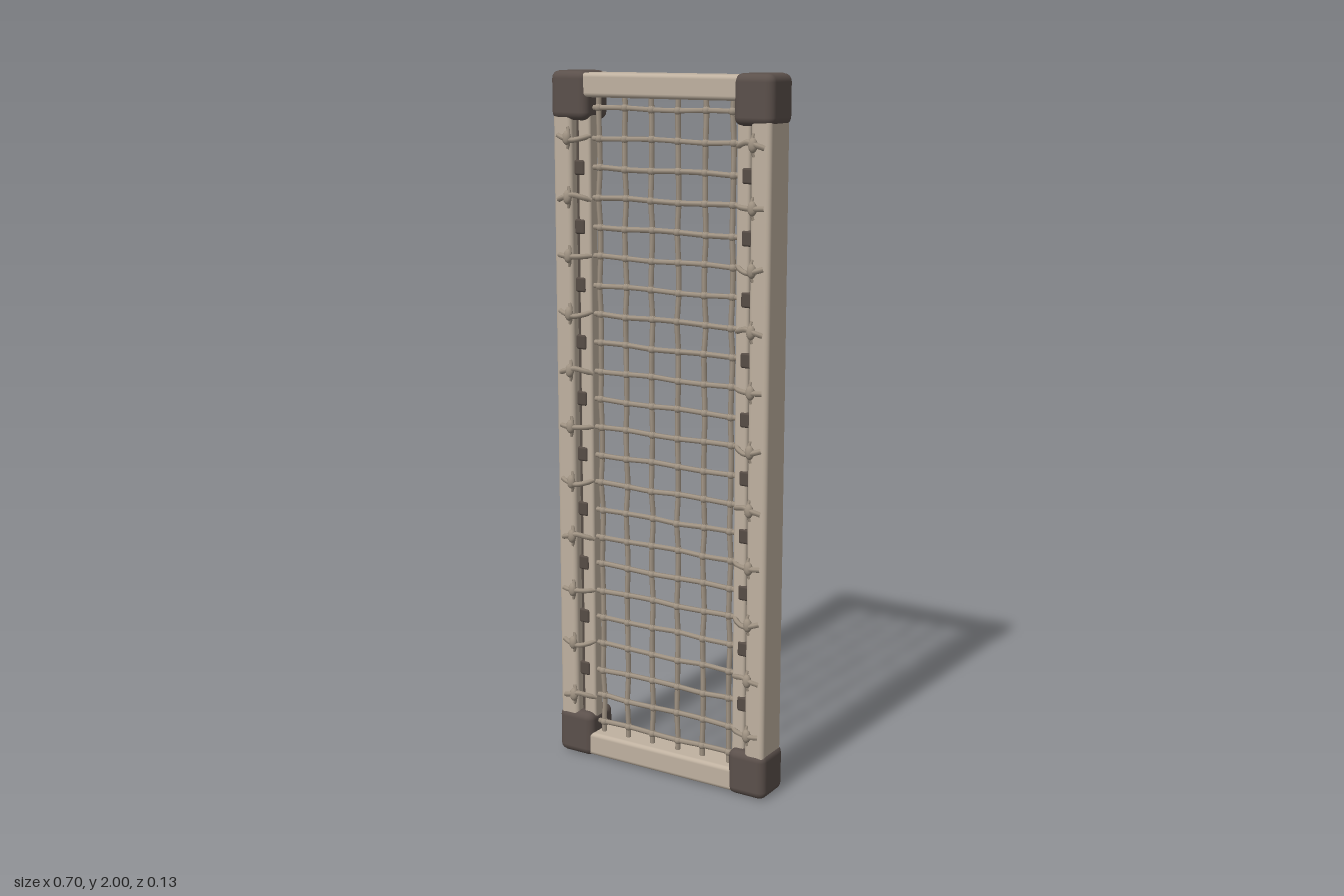
import * as THREE from 'three';
import { RoundedBoxGeometry } from 'three/addons/geometries/RoundedBoxGeometry.js';

const paint = (name, color) => {
  const m = new THREE.MeshStandardMaterial({ color });
  m.name = name;
  return m;
};

export function createModel() {
  const model = new THREE.Group();
  model.name = 'ropeNetPanel';
  const wood = paint('paleWood', 0xbfb1a0);
  const cap = paint('darkCap', 0x5b504b);
  const rope = paint('rope', 0xa19484);
  const shade = paint('darkBinding', 0x564c45);

  const add = (parent, name, geometry, material, x = 0, y = 0, z = 0) => {
    const mesh = new THREE.Mesh(geometry, material);
    mesh.name = name;
    mesh.position.set(x, y, z);
    parent.add(mesh);
    return mesh;
  };
  const block = (w, h, d, r) => new RoundedBoxGeometry(w, h, d, 2, r);
  const tube = (points, radius, steps, closed = false) =>
    new THREE.TubeGeometry(new THREE.CatmullRomCurve3(points, closed), steps, radius, 6, closed);
  const V = (x, y, z) => new THREE.Vector3(x, y, z);

  // Outer frame: top and bottom rails, side rails and corner caps
  const frame = new THREE.Group();
  frame.name = 'frame';
  model.add(frame);
  add(frame, 'topRail', block(0.5, 0.066, 0.108, 0.012), wood, 0, 1.962, -0.007);
  add(frame, 'bottomRail', block(0.5, 0.07, 0.108, 0.012), wood, 0, 0.042, -0.007);
  for (const s of [-1, 1]) {
    add(frame, 'sideRail', block(0.06, 1.8, 0.108, 0.012), wood, s * 0.313, 1, -0.007);
    add(frame, 'netBatten', block(0.04, 1.86, 0.04, 0.008), wood, s * 0.252, 1, 0.008);
    add(frame, 'slotFiller', new THREE.BoxGeometry(0.02, 1.8, 0.024), shade, s * 0.277, 1, 0.006);
    for (const y of [0.069, 1.933]) {
      add(frame, 'cornerCap', block(0.119, 0.134, 0.12, 0.022), cap, s * 0.2895, y, -0.008);
    }
  }

  // Net layout: slightly uneven grid of knots
  const rows = 23, cols = 6, netZ = 0.01;
  const rowY = (j) => 0.107 + j * 0.0815;
  const colX = (i) => (i - 2.5) * 0.085;
  const knot = (i, j) => V(
    colX(i) + 0.002 * Math.sin(i * 2.7 + j * 1.9),
    rowY(j) + 0.002 * Math.sin(i * 1.7 + j * 2.3),
    netZ + 0.002 * Math.sin(i * 3.1 + j * 3.7));

  const net = new THREE.Group();
  net.name = 'net';
  model.add(net);
  for (let i = 0; i < cols; i++) {
    const points = [V(colX(i), 0.06, netZ)];
    for (let j = 0; j < rows; j++) points.push(knot(i, j));
    points.push(V(colX(i), 1.94, netZ));
    add(net, 'verticalRope', tube(points, 0.0075, 72), rope);
  }
  const knotShape = new THREE.IcosahedronGeometry(0.012, 1);
  for (let j = 0; j < rows; j++) {
    const points = [V(-0.25, rowY(j), netZ)];
    for (let i = 0; i < cols; i++) {
      const p = knot(i, j);
      points.push(p);
      add(net, 'knot', knotShape, rope, p.x, p.y, p.z);
    }
    points.push(V(0.25, rowY(j), netZ));
    add(net, 'horizontalRope', tube(points, 0.0075, 24), rope);
  }

  // Lashings: rope loops over the rails, alternating with dark bindings
  const lashings = new THREE.Group();
  lashings.name = 'lashings';
  model.add(lashings);
  for (const s of [-1, 1]) {
    for (let j = 0; j < rows; j++) {
      const y = rowY(j);
      if (j % 2 === 0) {
        add(lashings, 'darkBinding', block(0.034, 0.042, 0.03, 0.006), shade, s * 0.267, y, 0.017);
        continue;
      }
      const tilt = 0.008 * Math.sin(j * 2.1 + s);
      add(lashings, 'lashing', tube([
        V(s * 0.235, y - tilt, 0.02), V(s * 0.25, y, 0.036), V(s * 0.28, y + tilt, 0.05),
        V(s * 0.305, y, 0.053), V(s * 0.326, y - tilt, 0.046),
      ], 0.0075, 14), rope);
      add(lashings, 'lashingKnot', knotShape, rope, s * 0.293, y, 0.051).scale.set(1.1, 1.7, 0.9);
      add(lashings, 'lashingTail', tube([
        V(s * 0.293, y + 0.03, 0.044), V(s * 0.287, y, 0.05), V(s * 0.294, y - 0.03, 0.044),
      ], 0.005, 8), rope);
      // Pale spacer closing the slot from behind, with dark gaps between
      add(lashings, 'slotSpacer', new THREE.BoxGeometry(0.016, 0.125, 0.01), wood, s * 0.277, y, -0.007);
    }
  }
  return model;
}
